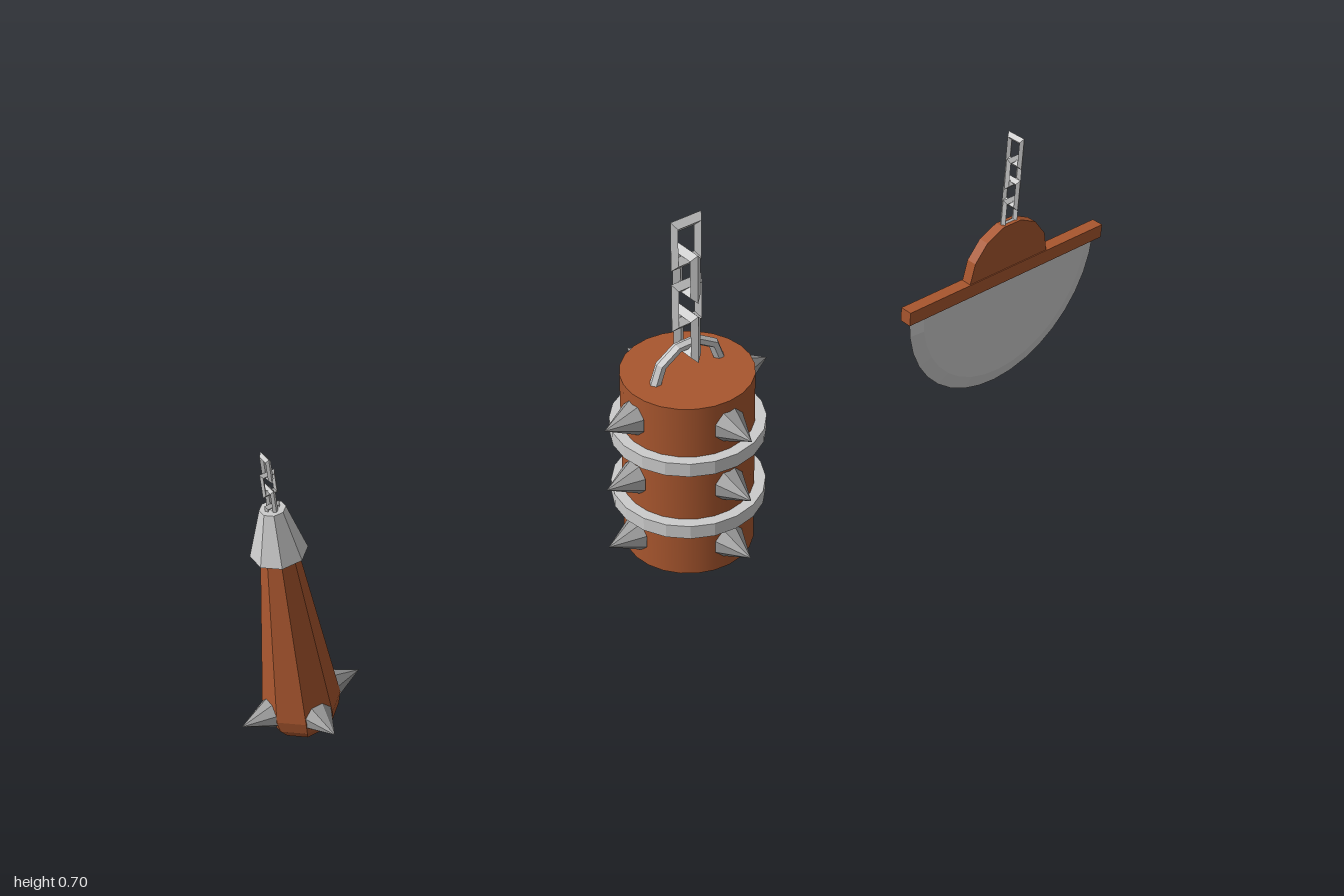
import * as THREE from 'three';

const metal = new THREE.MeshStandardMaterial({ color: 0xcccccc, flatShading: true });
const smoothMetal = new THREE.MeshStandardMaterial({ color: 0xcccccc });
const darkMetal = new THREE.MeshStandardMaterial({ color: 0x999999, flatShading: true });
const wood = new THREE.MeshStandardMaterial({ color: 0xa8562e, flatShading: true });
const smoothWood = new THREE.MeshStandardMaterial({ color: 0xa8562e });

function add(parent, name, geometry, material, x = 0, y = 0, z = 0) {
  const mesh = new THREE.Mesh(geometry, material);
  mesh.name = name;
  mesh.position.set(x, y, z);
  parent.add(mesh);
  return mesh;
}

function lathe(points, segments, start = 0, length = Math.PI * 2) {
  return new THREE.LatheGeometry(points.map(([r, y]) => new THREE.Vector2(r, y)), segments, start, length);
}

// Rectangular links with a diamond section, alternately turned, listed from the top down
function addChain(parent, topY, step, halfWidth, halfHeight, tube, count, firstTurned) {
  const chain = new THREE.Group();
  chain.name = 'chain';
  const geometry = new THREE.TorusGeometry(halfWidth * Math.SQRT2 - tube, tube, 4, 4);
  geometry.rotateZ(Math.PI / 4).scale(1, halfHeight / halfWidth, 1);
  for (let i = 0; i < count; i++) {
    const link = add(chain, 'chainLink', geometry, metal, 0, topY - halfHeight - i * step);
    if ((i % 2 === 0) === firstTurned) link.rotation.y = Math.PI / 2;
  }
  parent.add(chain);
}

// Four spikes pointing out to the sides, front and back
function addSpikes(parent, y, inner, outer, radius) {
  const geometry = new THREE.ConeGeometry(radius, outer - inner, 8);
  geometry.rotateY(Math.PI / 8).rotateX(Math.PI / 2).translate(0, 0, (inner + outer) / 2);
  for (let i = 0; i < 4; i++) {
    add(parent, 'spike', geometry, darkMetal, 0, y).rotation.y = i * Math.PI / 2;
  }
}

// Tapered eight-sided club hanging with its heavy end down
function createClub() {
  const club = new THREE.Group();
  club.name = 'hangingClub';
  const r = 0.065;
  const profile = [];
  for (let i = 0; i <= 4; i++) {
    const a = i / 4 * Math.PI / 2;
    profile.push([r * Math.sin(a), r - r * Math.cos(a)]);
  }
  profile.push([0.029, 0.39], [0, 0.39]);
  add(club, 'clubBody', lathe(profile, 8), wood).rotation.y = Math.PI / 8;
  add(club, 'clubCap', new THREE.CylinderGeometry(0.021, 0.046, 0.088, 8), metal, 0, 0.43)
    .rotation.y = Math.PI / 8;
  addSpikes(club, 0.067, 0.048, 0.111, 0.031);
  addChain(club, 0.577, 0.031, 0.013, 0.023, 0.0045, 4, true);
  return club;
}

// Upright log with two bands, three rows of spikes and an arched handle
function createLog() {
  const log = new THREE.Group();
  log.name = 'hangingLog';
  add(log, 'logBody', new THREE.CylinderGeometry(0.122, 0.122, 0.373, 24), smoothWood, 0, 0.1965);
  const band = lathe([[0.118, -0.014], [0.143, -0.014], [0.143, 0.014], [0.118, 0.014]], 20);
  for (const y of [0.124, 0.265]) add(log, 'band', band, metal, 0, y);
  for (const y of [0.066, 0.198, 0.33]) addSpikes(log, y, 0.12, 0.184, 0.033);
  const arch = new THREE.TorusGeometry(0.072, 0.011, 6, 5, Math.PI);
  add(log, 'handle', arch, metal, 0, 0.38).scale.y = 0.85;
  addChain(log, 0.7, 0.0625, 0.033, 0.049, 0.011, 4, false);
  return log;
}

// Half-moon blade below a wooden bar with a rounded block
function createBlade() {
  const blade = new THREE.Group();
  blade.name = 'hangingBlade';
  const halfDisc = lathe([[0, -0.008], [0.225, -0.008], [0.255, 0], [0.225, 0.008], [0, 0.008]], 18, 0, Math.PI);
  halfDisc.rotateX(Math.PI / 2).rotateZ(-Math.PI / 2);
  add(blade, 'bladePlate', halfDisc, metal, 0, 0.26);
  add(blade, 'crossbar', new THREE.BoxGeometry(0.532, 0.03, 0.026), wood, 0, 0.27);
  const block = new THREE.Shape();
  for (let i = 0; i <= 7; i++) {
    const a = i / 7 * Math.PI;
    const x = 0.106 * Math.cos(a), y = 0.106 * Math.sin(a);
    if (i === 0) block.moveTo(x, y);
    else block.lineTo(x, y);
  }
  const blockGeometry = new THREE.ExtrudeGeometry(block, { depth: 0.022, bevelEnabled: false });
  add(blade, 'roundedBlock', blockGeometry.translate(0, 0, -0.011), wood, 0, 0.283);
  addChain(blade, 0.58, 0.046, 0.021, 0.034, 0.007, 4, true);
  return blade;
}

export function createModel() {
  const model = new THREE.Group();
  model.name = 'hangingTraps';
  const club = createClub();
  club.position.x = -0.889;
  const log = createLog();
  log.position.x = -0.07;
  const blade = createBlade();
  blade.position.set(0.733, 0, -0.005);
  model.add(club, log, blade);
  return model;
}
